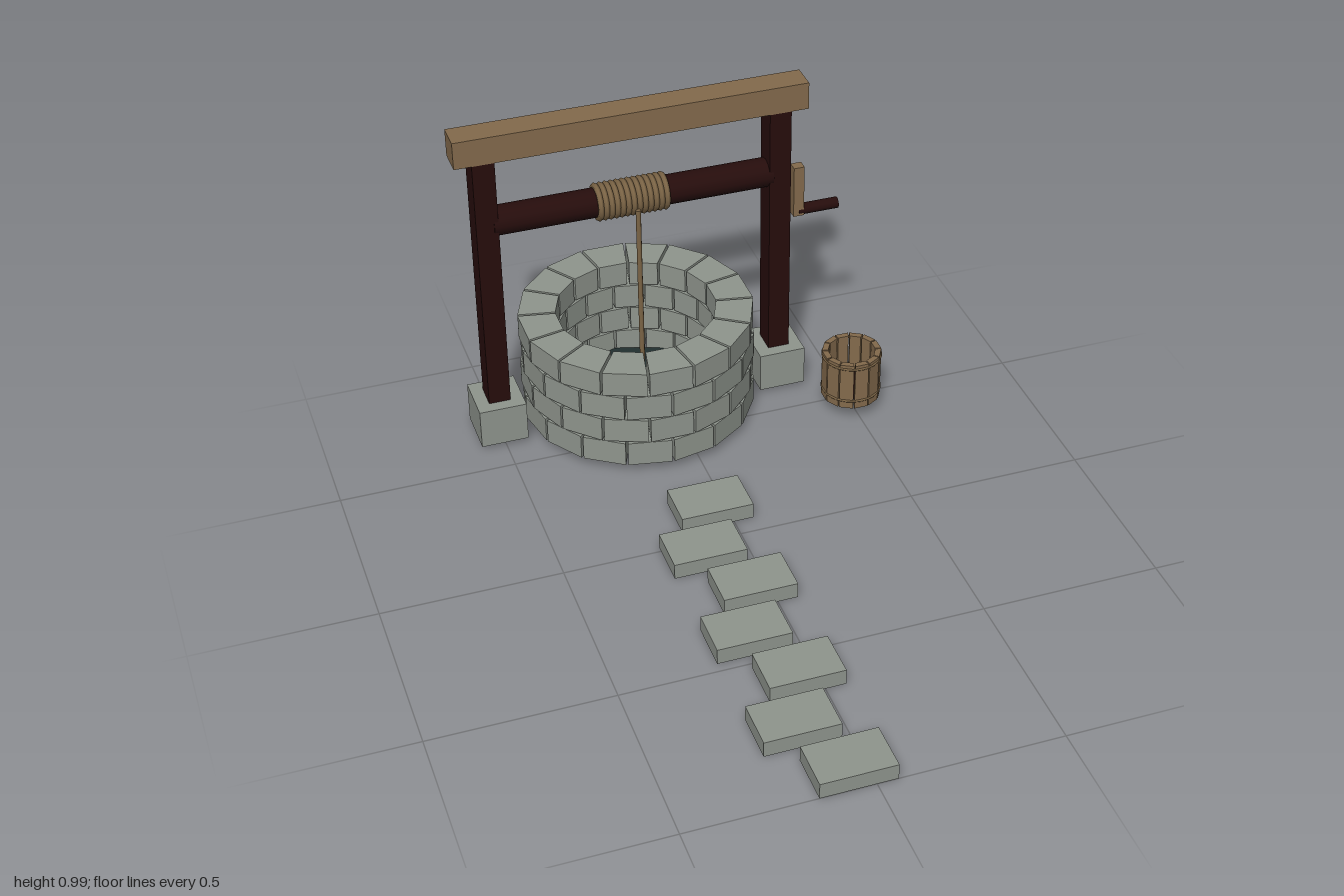
import * as THREE from 'three';

const mat = (name, color) => {
  const m = new THREE.MeshStandardMaterial({ color });
  m.name = name;
  return m;
};

export function createModel() {
  const root = new THREE.Group();
  root.name = 'well';
  const stone = mat('stone', 0x8f958d);
  const wood = mat('wood', 0x836a4c);
  const darkWood = mat('darkWood', 0x260d0c);
  const rope = mat('rope', 0x7c6546);
  const water = mat('water', 0x223030);

  const add = (parent, name, geo, material, x = 0, y = 0, z = 0) => {
    const m = new THREE.Mesh(geo, material);
    m.name = name;
    m.position.set(x, y, z);
    parent.add(m);
    return m;
  };
  const group = (name, x = 0, y = 0, z = 0) => {
    const g = new THREE.Group();
    g.name = name;
    g.position.set(x, y, z);
    root.add(g);
    return g;
  };
  const box = (w, h, d) => new THREE.BoxGeometry(w, h, d);

  // Wedge block standing on y = 0, facing +z, for a ring of n blocks
  const wedge = (n, inner, outer, height, gap) => {
    const t = Math.tan(Math.PI / n);
    const a = outer * t - gap / 2, b = inner * t - gap / 2;
    const shape = new THREE.Shape([
      new THREE.Vector2(-b, -inner), new THREE.Vector2(-a, -outer),
      new THREE.Vector2(a, -outer), new THREE.Vector2(b, -inner),
    ]);
    const geo = new THREE.ExtrudeGeometry(shape, { depth: height, bevelEnabled: false });
    return geo.rotateX(-Math.PI / 2);
  };
  const ring = (parent, name, geo, material, n, y, offset) => {
    for (let i = 0; i < n; i++) {
      add(parent, name, geo, material, 0, y).rotation.y = ((i + offset) * 2 * Math.PI) / n;
    }
  };

  const CX = -0.085, CZ = -0.664;

  // Well wall: four staggered courses of sixteen blocks
  const wall = group('wellWall', CX, 0, CZ);
  const block = wedge(16, 0.225, 0.33, 0.074, 0.007);
  for (let r = 0; r < 4; r++) ring(wall, 'wallBlock', block, stone, 16, 0.031 + r * 0.0785, r % 2 ? 0 : 0.5);
  add(wall, 'water', new THREE.CylinderGeometry(0.23, 0.23, 0.008, 10), water, 0, 0.04, 0);

  // Frame: footings, posts and top beam
  const frame = group('frame', CX, 0, CZ);
  for (const s of [-1, 1]) {
    add(frame, 'footing', box(0.136, 0.119, 0.146), stone, s * 0.419, 0.0725, 0);
    add(frame, 'post', box(0.0625, 0.79, 0.075), darkWood, s * 0.419, 0.52, 0);
  }
  add(frame, 'topBeam', box(0.998, 0.08, 0.08), wood, 0, 0.95, 0);

  // Windlass: axle, coiled rope, hanging rope and crank
  const windlass = group('windlass', 0, 0.708, CZ);
  add(windlass, 'axle', new THREE.CylinderGeometry(0.042, 0.042, 0.8, 12).rotateZ(Math.PI / 2), darkWood, CX);
  const coil = new THREE.TorusGeometry(0.046, 0.0085, 6, 20).rotateY(Math.PI / 2);
  for (let i = 0; i < 13; i++) add(windlass, 'ropeCoil', coil, rope, -0.187 + i * 0.0158);
  add(windlass, 'hangingRope', new THREE.CylinderGeometry(0.0075, 0.0075, 0.525, 8), rope, CX, -0.278, 0.053);
  add(windlass, 'crankArm', box(0.031, 0.158, 0.03), wood, 0.399, -0.077, 0);
  add(windlass, 'crankHandle', new THREE.CylinderGeometry(0.017, 0.017, 0.12, 10).rotateZ(Math.PI / 2),
    darkWood, 0.46, -0.143, 0);

  // Bucket: staves, two hoops and a recessed floor
  const bucket = group('bucket', 0.495, 0, -0.455);
  ring(bucket, 'bucketStave', wedge(12, 0.066, 0.083, 0.148, 0.004), wood, 12, 0.048, 0);
  const hoop = new THREE.TorusGeometry(0.0835, 0.004, 6, 24).rotateX(Math.PI / 2);
  for (const y of [0.073, 0.183]) add(bucket, 'bucketHoop', hoop, rope, 0, y, 0);
  add(bucket, 'bucketFloor', new THREE.CylinderGeometry(0.067, 0.067, 0.015, 12), darkWood, 0, 0.073, 0);

  // Path of staggered stepping stones
  const path = group('path');
  for (let i = 0; i < 7; i++) {
    add(path, 'steppingStone', box(0.205, 0.046, 0.136), stone, i % 2 ? -0.125 : -0.046, 0.023, 0.932 - i * 0.176);
  }
  return root;
}
